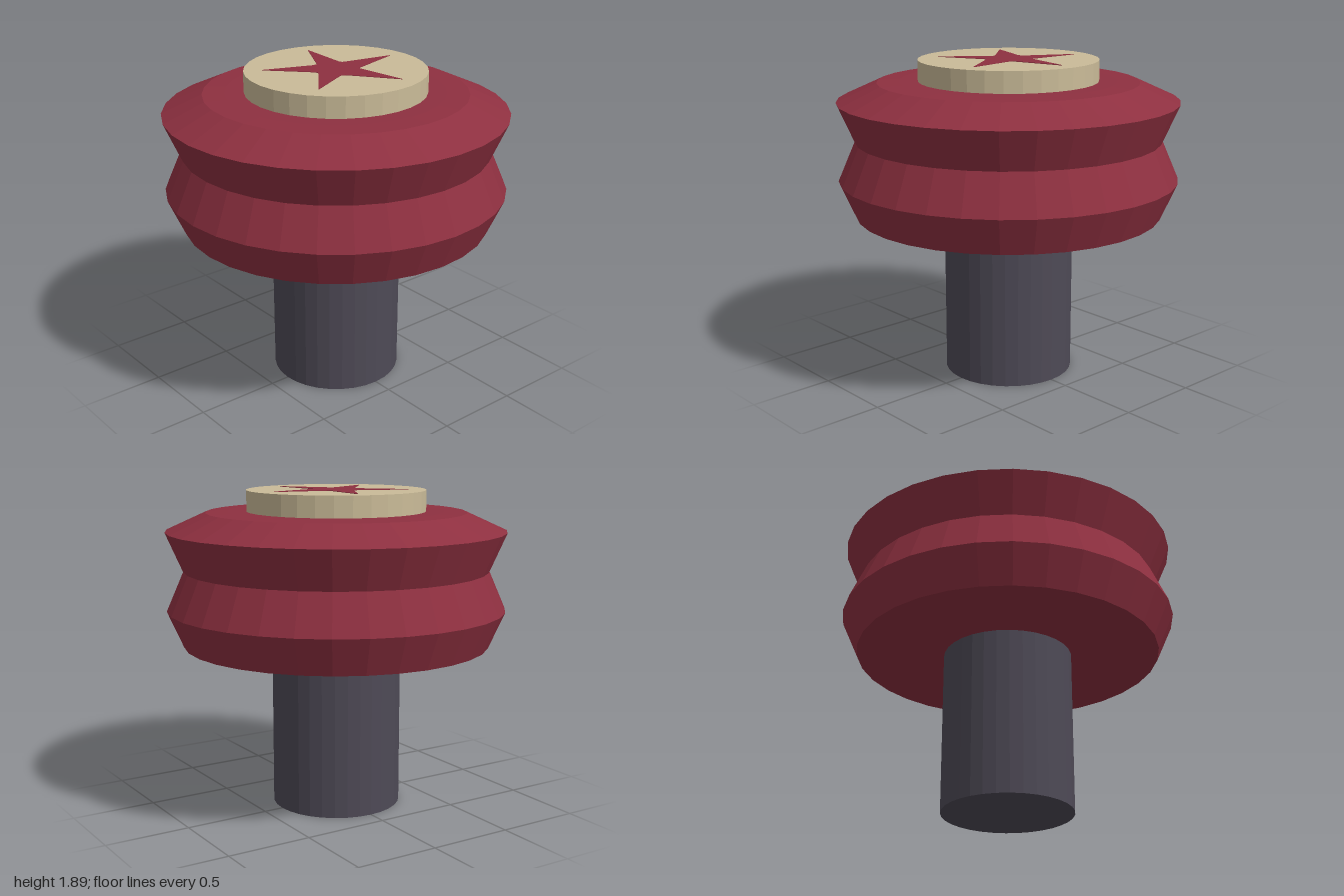
import * as THREE from 'three';

const SIDES = 32;
const material = (name, color) => {
  const m = new THREE.MeshStandardMaterial({ color });
  m.name = name;
  return m;
};

export function createModel() {
  const group = new THREE.Group();
  const red = material('dark red', 0x8e3040);
  const cream = material('cream', 0xcabb98);
  const grey = material('dark grey', 0x4e4a56);

  const add = (name, geometry, mat, y = 0) => {
    const mesh = new THREE.Mesh(geometry, mat);
    mesh.name = name;
    mesh.position.y = y;
    group.add(mesh);
  };
  // Solid of revolution with faceted sides
  const turned = (points) => {
    const profile = points.map(([r, y]) => new THREE.Vector2(r, y));
    const geometry = new THREE.LatheGeometry(profile, SIDES).toNonIndexed();
    geometry.computeVertexNormals();
    return geometry;
  };

  // Stem
  add('stem', turned([[0, 0], [0.383, 0], [0.383, 0.98], [0, 0.98]]), grey);

  // Double-ridged head with bevelled, slightly raised top
  add('head', turned([
    [0, 0.973], [0.905, 0.973], [1, 1.188], [0.9, 1.418],
    [1, 1.648], [0.765, 1.755], [0.635, 1.76], [0, 1.76],
  ]), red);

  // Round cap
  add('cap', turned([[0, 1.75], [0.527, 1.75], [0.527, 1.883], [0, 1.883]]), cream);

  // Star inlay, slightly irregular, with blunt inner corners; points are [x, -z]
  const star = new THREE.Shape([
    [-0.015, 0.425], [-0.08, 0.115], [-0.095, 0.105], [-0.415, 0.122],
    [-0.135, -0.03], [-0.135, -0.065], [-0.24, -0.345],
    [-0.015, -0.135], [0.012, -0.135], [0.255, -0.33],
    [0.125, -0.07], [0.135, -0.04], [0.395, 0.15],
    [0.085, 0.105], [0.07, 0.115],
  ].map(([x, y]) => new THREE.Vector2(x, y)));
  const starGeometry = new THREE.ExtrudeGeometry(star, { depth: 0.005, bevelEnabled: false });
  starGeometry.rotateX(-Math.PI / 2);
  add('star', starGeometry, red, 1.881);

  return group;
}
